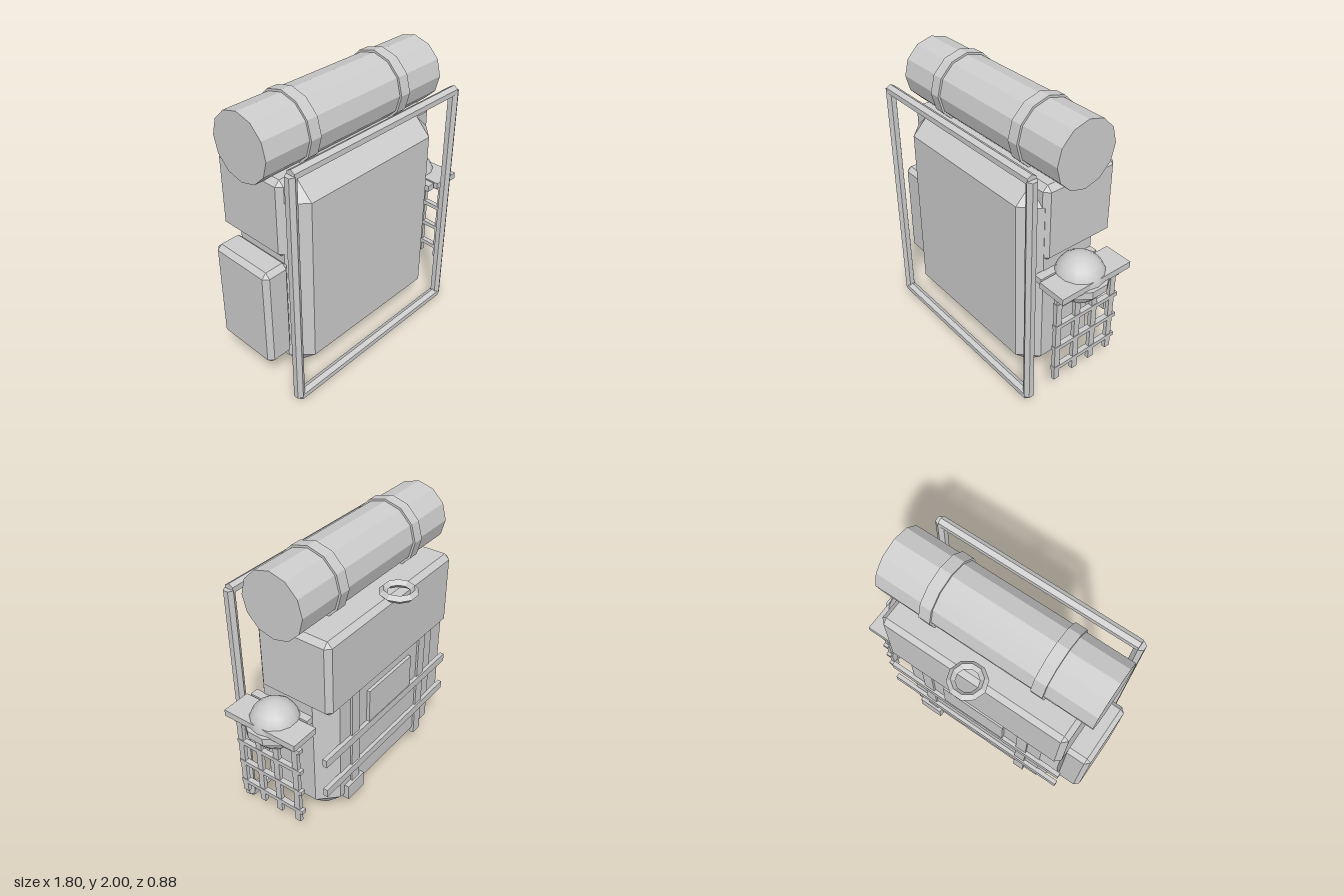
import * as THREE from 'three';
import { ConvexGeometry } from 'three/addons/geometries/ConvexGeometry.js';

export function createModel() {
  const model = new THREE.Group();
  model.name = 'backpack';
  const grey = new THREE.MeshStandardMaterial({ color: 0xcccccc });
  grey.name = 'grey';

  const add = (name, geometry, x = 0, y = 0, z = 0) => {
    const mesh = new THREE.Mesh(geometry, grey);
    mesh.name = name;
    mesh.position.set(x, y, z);
    model.add(mesh);
    return mesh;
  };
  // faceted normals for low-poly round parts
  const flat = (geometry) => {
    const g = geometry.toNonIndexed();
    g.computeVertexNormals();
    return g;
  };
  // plain box from its limits
  const box = (name, x0, x1, y0, y1, z0, z1) =>
    add(name, new THREE.BoxGeometry(x1 - x0, y1 - y0, z1 - z0), (x0 + x1) / 2, (y0 + y1) / 2, (z0 + z1) / 2);
  // box with every edge and corner cut by c
  const bevelBox = (name, x0, x1, y0, y1, z0, z1, c) => {
    const h = [(x1 - x0) / 2, (y1 - y0) / 2, (z1 - z0) / 2];
    const points = [];
    for (const sx of [-1, 1]) for (const sy of [-1, 1]) for (const sz of [-1, 1])
      for (let axis = 0; axis < 3; axis++) {
        const p = h.map((v, i) => (i === axis ? v : v - c));
        points.push(new THREE.Vector3(sx * p[0], sy * p[1], sz * p[2]));
      }
    return add(name, new ConvexGeometry(points), (x0 + x1) / 2, (y0 + y1) / 2, (z0 + z1) / 2);
  };
  // many-sided bar lying along x
  const barX = (name, x0, x1, y, z, radius, sides) => {
    const g = new THREE.CylinderGeometry(radius, radius, x1 - x0, sides);
    g.rotateY(Math.PI / 2).rotateZ(Math.PI / 2);
    return add(name, flat(g), (x0 + x1) / 2, y, z);
  };

  // main bag, lid and side pocket
  bevelBox('bag', -0.72, 0.59, 0.13, 1.56, -0.27, 0.365, 0.12);
  bevelBox('lid', -0.745, 0.613, 1.045, 1.585, -0.305, 0.255, 0.035);
  bevelBox('sidePocket', -0.905, -0.71, 0.31, 1.03, -0.19, 0.28, 0.032);

  // bedroll and its straps
  barX('bedroll', -0.826, 0.69, 1.763, 0.032, 0.224, 12);
  for (const x of [-0.46, 0.322]) barX('bedrollStrap', x - 0.04, x + 0.04, 1.763, 0.032, 0.239, 12);

  // carrying frame
  for (const x of [-0.784, 0.649])
    add('frameUpright', flat(new THREE.CylinderGeometry(0.036, 0.036, 1.68, 6)), x, 0.885, 0.4);
  for (const y of [0.042, 1.725]) barX('frameRail', -0.784, 0.649, y, 0.4, 0.036, 6);

  // loop on the lid
  const loop = new THREE.TorusGeometry(0.1, 0.027, 4, 10).rotateX(Math.PI / 2);
  add('lidLoop', flat(loop), -0.067, 1.62, -0.322);

  // straps, cross bars, patch and buckle on the back
  for (const x of [-0.455, 0.32]) box('backStrap', x - 0.04, x + 0.04, 0.2, 1.08, -0.285, -0.25);
  for (const y of [0.7, 0.443]) box('crossBar', -0.77, 0.645, y - 0.03, y + 0.03, -0.297, -0.265);
  box('backPatch', -0.305, 0.18, 0.72, 0.98, -0.293, -0.25);
  box('buckle', 0.25, 0.425, 0.21, 0.325, -0.303, -0.26);

  // ball with its shelf and hoop
  add('ball', new THREE.SphereGeometry(0.17, 14, 12), 0.71, 0.92, 0.052);
  box('ballShelf', 0.657, 0.862, 0.935, 0.98, -0.23, 0.332);
  box('shelfMount', 0.585, 0.645, 0.935, 0.98, -0.15, 0.31);
  const hoopProfile = [[0.16, 0.887], [0.193, 0.887], [0.193, 0.94], [0.16, 0.94], [0.16, 0.887]]
    .map(([r, y]) => new THREE.Vector2(r, y));
  add('ballHoop', flat(new THREE.LatheGeometry(hoopProfile, 10)), 0.71, 0, 0.055);

  // net hanging beside the bag
  for (const z of [0.29, 0.135, -0.01, -0.165]) box('netUpright', 0.767, 0.795, 0.245, 0.94, z - 0.022, z + 0.022);
  for (const y of [0.865, 0.69, 0.512, 0.338]) box('netCrossbar', 0.763, 0.799, y - 0.015, y + 0.015, -0.21, 0.315);

  return model;
}
